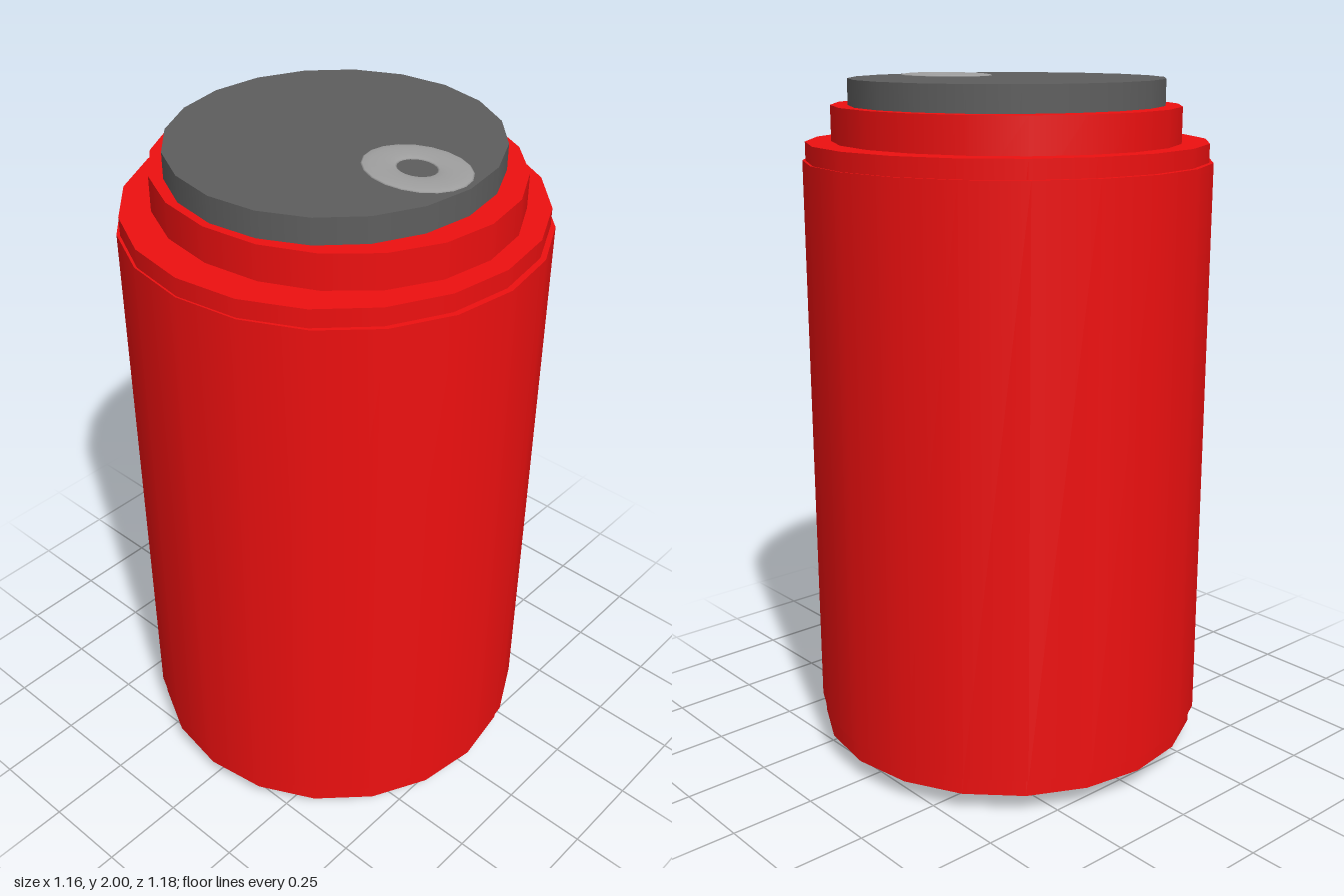
import * as THREE from 'three';

const SIDES = 20;

export function createModel() {
  const can = new THREE.Group();
  can.name = 'drinkCan';
  const red = new THREE.MeshStandardMaterial({ color: 0xee1010 });
  const darkGrey = new THREE.MeshStandardMaterial({ color: 0x5e5e5e });
  const lightGrey = new THREE.MeshStandardMaterial({ color: 0xa0a0a0 });

  const add = (name, geometry, material, x, y, z) => {
    const mesh = new THREE.Mesh(geometry, material);
    mesh.name = name;
    mesh.position.set(x, y, z);
    can.add(mesh);
  };

  // Slightly oval capped cylinder between two heights
  const drum = (name, material, rx, rz, bottom, top, x = 0, z = 0) => {
    const geometry = new THREE.CylinderGeometry(1, 1, top - bottom, SIDES);
    geometry.scale(rx, 1, rz);
    add(name, geometry, material, x, (bottom + top) / 2, z);
  };

  // Nested drums: each narrower one reaches further out at the ends
  drum('body', red, 0.578, 0.589, 0.115, 1.77);
  drum('shoulder', red, 0.573, 0.572, 0.062, 1.822);
  drum('neck', red, 0.483, 0.511, 1.7, 1.922, 0.008);
  drum('lidAndBase', darkGrey, 0.453, 0.443, 0, 1.995);

  // Flattened oval ring on the lid
  const ring = new THREE.TorusGeometry(0.084, 0.041, 12, SIDES);
  ring.rotateX(Math.PI / 2);
  ring.scale(1, 0.15, 1.24);
  add('pullTab', ring, lightGrey, 0, 1.994, 0.275);

  return can;
}
